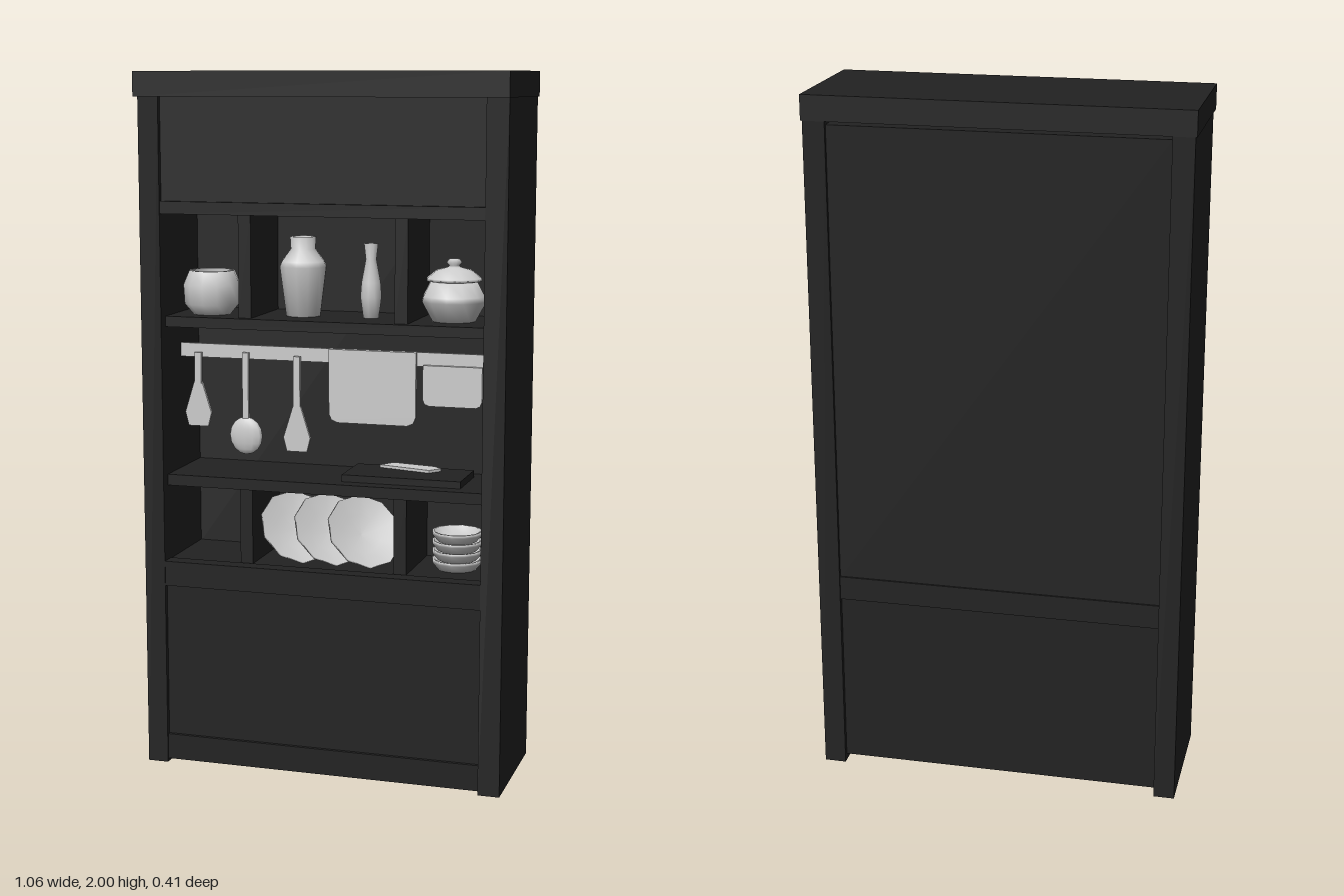
import * as THREE from 'three';

const dark = new THREE.MeshStandardMaterial({ color: 0x222222 });
const grey = new THREE.MeshStandardMaterial({ color: 0xcccccc });
const greyThin = new THREE.MeshStandardMaterial({ color: 0xcccccc, side: THREE.DoubleSide });

export function createModel() {
  const root = new THREE.Group();

  const add = (name, geometry, material, x = 0, y = 0, z = 0) => {
    const mesh = new THREE.Mesh(geometry, material);
    mesh.name = name;
    mesh.position.set(x, y, z);
    root.add(mesh);
    return mesh;
  };
  // Box given by its limits on each axis
  const box = (name, [x0, x1], [y0, y1], [z0, z1], material = dark) =>
    add(name, new THREE.BoxGeometry(x1 - x0, y1 - y0, z1 - z0), material,
      (x0 + x1) / 2, (y0 + y1) / 2, (z0 + z1) / 2);
  // Turned vessel from a radius/height profile
  const turned = (name, profile, x, y, z, sides = 12) =>
    add(name, new THREE.LatheGeometry(profile.map(p => new THREE.Vector2(...p)), sides), greyThin, x, y, z);
  // Thin plate cut from an outline in x and y
  const cut = (name, outline, x, z, depth = 0.01) =>
    add(name, new THREE.ExtrudeGeometry(new THREE.Shape(outline.map(p => new THREE.Vector2(...p))),
      { depth, bevelEnabled: false }), grey, x, 0, z);

  // Carcass
  const inner = [-0.468, 0.463];
  box('leftSide', [0.463, 0.525], [0, 1.93], [-0.2, 0.18]);
  box('rightSide', [-0.528, -0.468], [0, 1.93], [-0.2, 0.18]);
  box('crown', [-0.532, 0.53], [1.93, 2], [-0.2, 0.205]);
  box('upperBack', inner, [0.6, 1.92], [-0.19, -0.115]);
  box('backRail', inner, [0.535, 0.605], [-0.195, -0.11]);
  box('lowerBack', inner, [0.02, 0.535], [-0.185, -0.165]);
  box('floorBoard', inner, [0.06, 0.08], [-0.165, 0.1]);

  // Front panels and rails
  box('kickBoard', inner, [0.01, 0.085], [0.14, 0.175]);
  box('lowerPanel', inner, [0.085, 0.535], [0.14, 0.165]);
  box('lowerRail', inner, [0.535, 0.607], [0.13, 0.178]);
  box('upperRail', inner, [1.607, 1.642], [-0.115, 0.178]);
  box('upperPanel', inner, [1.642, 1.93], [0.14, 0.165]);

  // Shelves and dividers
  box('bottomShelf', inner, [0.58, 0.605], [-0.115, 0.13]);
  box('counter', inner, [0.825, 0.857], [-0.115, 0.145]);
  box('topShelf', inner, [1.285, 1.315], [-0.115, 0.145]);
  for (const [y0, y1] of [[0.605, 0.825], [1.315, 1.607]]) {
    for (const x of [-0.255, 0.2]) box('divider', [x, x + 0.037], [y0, y1], [-0.115, 0.125]);
  }

  // Vessels on the top shelf
  turned('openPot', [[0, 0], [0.055, 0], [0.08, 0.03], [0.083, 0.085], [0.066, 0.125],
    [0.056, 0.125], [0.07, 0.08], [0.05, 0.015], [0, 0.015]], -0.365, 1.315, 0.04);
  turned('wideVase', [[0, 0], [0.05, 0], [0.068, 0.14], [0.062, 0.155], [0.036, 0.19], [0.038, 0.225],
    [0.03, 0.225], [0.03, 0.19], [0, 0.15]], -0.1, 1.315, 0.01);
  turned('slimVase', [[0, 0], [0.022, 0], [0.03, 0.06], [0.027, 0.1], [0.015, 0.165], [0.02, 0.21],
    [0.014, 0.21], [0.01, 0.165], [0, 0.15]], 0.1, 1.315, 0.01, 10);
  turned('lidPot', [[0, 0], [0.062, 0], [0.092, 0.055], [0.088, 0.07], [0.066, 0.112], [0, 0.112]], 0.34, 1.315, 0.01);
  turned('potLid', [[0, 0.112], [0.078, 0.112], [0.078, 0.12], [0.05, 0.142], [0.018, 0.15],
    [0.014, 0.155], [0.022, 0.163], [0.016, 0.172], [0, 0.174]], 0.34, 1.315, 0.01);

  // Hanging rail with boards and utensils
  box('hangingRail', inner, [1.185, 1.225], [0.02, 0.03], grey);
  const hangingBoard = (x0, x1, y0, y1, c) => cut('hangingBoard',
    [[x0, y1], [x0, y0 + c], [x0 + c * 0.3, y0 + c * 0.3], [x0 + c, y0], [x1 - c, y0],
      [x1 - c * 0.3, y0 + c * 0.3], [x1, y0 + c], [x1, y1]], 0, 0.03, 0.012);
  hangingBoard(-0.015, 0.24, 1.015, 1.225, 0.025);
  hangingBoard(0.26, 0.43, 1.075, 1.19, 0.018);
  for (const [x, y] of [[-0.41, 0.985], [-0.11, 0.925]]) {
    box('spatulaHandle', [x - 0.01, x + 0.01], [y + 0.125, 1.2], [0.035, 0.047], grey);
    cut('spatulaHead', [[-0.03, y], [0.03, y], [0.04, y + 0.04], [0.012, y + 0.13],
      [-0.012, y + 0.13], [-0.04, y + 0.04]], x, 0.036);
  }
  box('spoonHandle', [-0.274, -0.256], [1.01, 1.205], [0.035, 0.047], grey);
  add('spoonBowl', new THREE.SphereGeometry(0.05, 12, 8), grey, -0.265, 0.963, 0.041).scale.set(1, 1.1, 0.35);

  // Chopping board and knife on the counter
  box('choppingBoard', [0.04, 0.385], [0.857, 0.877], [-0.07, 0.1]);
  const knife = new THREE.Group();
  knife.name = 'knife';
  const blade = cut('knifeBlade', [[-0.09, -0.02], [0.07, -0.03], [0.09, 0.01], [0.06, 0.03], [-0.07, 0.03]], 0, 0, 0.008);
  blade.rotation.x = -Math.PI / 2;
  knife.add(blade);
  knife.position.set(0.21, 0.878, -0.03);
  knife.rotation.y = -0.2;
  root.add(knife);

  // Leaning plates
  const facing = new THREE.Vector3(0.57, 0.58, 0.58).normalize();
  for (const x of [-0.11, -0.01, 0.09]) {
    const plate = turned('plate', [[0, -0.03], [0.055, -0.03], [0.06, -0.02], [0.115, 0.01],
      [0.113, 0.016], [0.06, -0.008], [0, -0.012]], x, 0.7, 0.05, 10);
    plate.quaternion.setFromUnitVectors(new THREE.Vector3(0, 1, 0), facing);
  }

  // Stacked bowls
  for (let i = 0; i < 4; i++) {
    turned('stackedBowl', [[0, 0], [0.055, 0], [0.073, 0.022], [0.073, 0.03], [0.066, 0.03],
      [0.05, 0.008], [0, 0.008]], 0.357, 0.606 + i * 0.027, 0.01);
  }

  return root;
}
